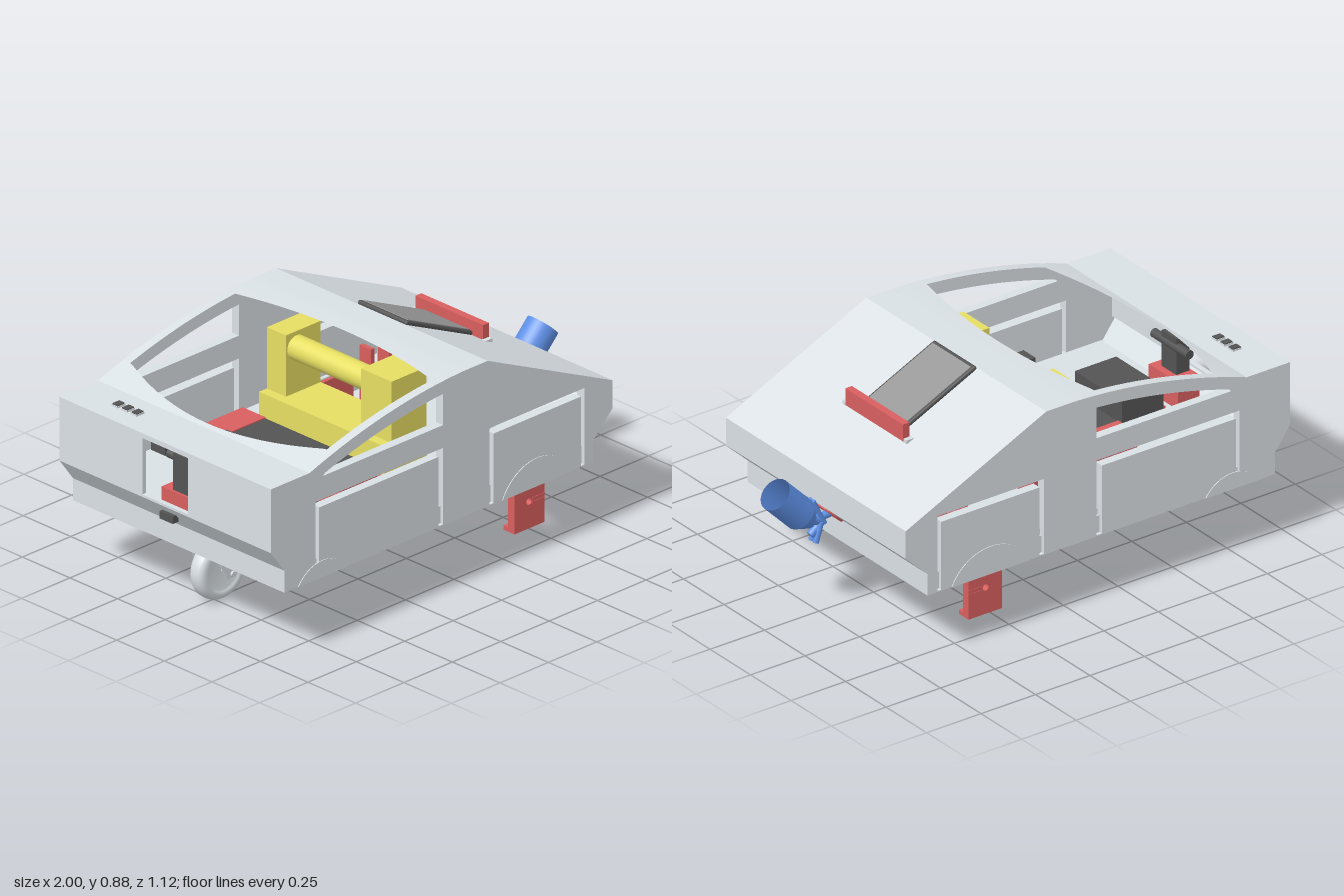
import * as THREE from 'three';
import { RoundedBoxGeometry } from 'three/addons/geometries/RoundedBoxGeometry.js';

const mat = (name, color, side = THREE.FrontSide) => {
  const m = new THREE.MeshStandardMaterial({ color, side });
  m.name = name;
  return m;
};

export function createModel() {
  const model = new THREE.Group();
  model.name = 'vehicle';
  const grey = mat('bodyGrey', 0xdae1e5, THREE.DoubleSide);
  const red = mat('red', 0xd95f5f);
  const yellow = mat('yellow', 0xe6de62);
  const blue = mat('blue', 0x5e90e6, THREE.DoubleSide);
  const dark = mat('darkGrey', 0x545454);
  const glass = mat('screenGrey', 0x989898);

  const add = (name, geo, m, x = 0, y = 0, z = 0) => {
    const mesh = new THREE.Mesh(geo, m);
    mesh.name = name;
    mesh.position.set(x, y, z);
    model.add(mesh);
    return mesh;
  };
  // Box given by its limits on each axis
  const box = (name, m, x0, x1, y0, y1, z0, z1) =>
    add(name, new THREE.BoxGeometry(x1 - x0, y1 - y0, z1 - z0), m, (x0 + x1) / 2, (y0 + y1) / 2, (z0 + z1) / 2);
  const v2 = (pts) => pts.map(([x, y]) => new THREE.Vector2(x, y));
  const rect = (a, b, c, d) => [[a, c], [b, c], [b, d], [a, d]];
  // Plate cut from an outline, centred on its thickness
  const plate = (pts, depth, holes = []) => {
    const s = new THREE.Shape(v2(pts));
    holes.forEach((h) => s.holes.push(new THREE.Path(v2(h))));
    return new THREE.ExtrudeGeometry(s, { depth, bevelEnabled: false }).translate(0, 0, -depth / 2);
  };
  // Rod between two points
  const rod = (name, m, a, b, r0, r1 = r0, open = false) => {
    const p = new THREE.Vector3(...a), q = new THREE.Vector3(...b), d = q.clone().sub(p);
    const mesh = add(name, new THREE.CylinderGeometry(r1, r0, d.length(), 32, 1, open), m);
    mesh.position.copy(p).add(q).multiplyScalar(0.5);
    mesh.quaternion.setFromUnitVectors(new THREE.Vector3(0, 1, 0), d.normalize());
  };
  // Folded sheet across the whole width, one flat quad per segment
  const W = 0.555;
  const sheet = (name, pts) => {
    const pos = [];
    for (let i = 0; i + 1 < pts.length; i++) {
      const [a, b] = pts[i], [c, d] = pts[i + 1];
      pos.push(a, b, -W, a, b, W, c, d, W, a, b, -W, c, d, W, c, d, -W);
    }
    const g = new THREE.BufferGeometry();
    g.setAttribute('position', new THREE.Float32BufferAttribute(pos, 3));
    g.computeVertexNormals();
    add(name, g, grey);
  };

  // Roof line height along x
  const roofY = (x) => {
    const t = Math.min(1, Math.max(0, (x + 0.8) / 0.8));
    return 0.72 + 0.15 * (t + 0.85 * t * (1 - t));
  };
  // Curved roof sheet between two edges that depend on z
  const roofSheet = (name, xa, xb) => {
    const nx = 16, nz = 40, pos = [], idx = [];
    for (let j = 0; j <= nz; j++) {
      const z = -W + (2 * W * j) / nz;
      for (let i = 0; i <= nx; i++) {
        const x = xa(z) + ((xb(z) - xa(z)) * i) / nx;
        pos.push(x, roofY(x), z);
        if (i < nx && j < nz) {
          const k = j * (nx + 1) + i, l = k + nx + 1;
          idx.push(k, l, k + 1, k + 1, l, l + 1);
        }
      }
    }
    const g = new THREE.BufferGeometry();
    g.setAttribute('position', new THREE.Float32BufferAttribute(pos, 3));
    g.setIndex(idx);
    g.computeVertexNormals();
    add(name, g, grey);
  };
  const edge = (mid, end) => (z) => mid + (end - mid) * Math.min(1, (z / 0.515) ** 2);
  roofSheet('roof', edge(-0.07, -0.13), () => 0.12);
  roofSheet('deckLip', () => -0.8, edge(-0.78, -0.67));
  sheet('deck', [[-1, 0.72], [-0.8, 0.72]]);
  sheet('slopedHood', [[0.12, 0.87], [0.765, 0.575], [0.765, 0.46], [0.665, 0.365], [0.665, 0.275]]);
  sheet('lowerEnd', [[-1, 0.46], [-0.93, 0.365], [-0.93, 0.275]]);
  const endWall = plate(rect(-W, W, 0.46, 0.72), 0.02, [rect(-0.12, 0.12, 0.47, 0.7)]);
  add('endWall', endWall.rotateY(Math.PI / 2), grey, -0.99);

  // Side panels with window and door gaps
  const arc = [], win = [[-0.11, 0.685], [-0.73, 0.685]];
  for (let i = 0; i <= 24; i++) {
    const x = -0.8 + (0.8 * i) / 24;
    arc.push([x, roofY(x)]);
    const wx = -0.72 + (0.61 * i) / 24;
    win.push([wx, Math.max(0.69, roofY(wx) - 0.052)]);
  }
  const outline = [[-0.93, 0.275], [-0.93, 0.365], [-1, 0.46], [-1, 0.72], ...arc,
    [0.12, 0.87], [0.765, 0.575], [0.765, 0.46], [0.665, 0.365], [0.665, 0.275]];
  const gap = (a, b, c, d) => [[a, 0.28], [a, 0.592], [d, 0.592], [d, 0.28], [c, 0.28], [c, 0.563], [b, 0.563], [b, 0.28]];
  const doors = [gap(-0.768, -0.75, -0.135, -0.11), gap(0.13, 0.15, 0.602, 0.62)];
  const archShape = (half, h) => {
    const r = (half * half + h * h) / (2 * h), a = Math.asin(half / r), pts = [];
    for (let i = 0; i <= 24; i++) {
      const t = a - (2 * a * i) / 24;
      pts.push([r * Math.sin(t), r * Math.cos(t) - r + h]);
    }
    return pts;
  };
  for (const s of [-1, 1]) {
    add('sidePanel', plate(outline, 0.038, [win, ...doors]), grey, 0, 0, s * 0.536);
    add('largeArch', plate(archShape(0.18, 0.115), 0.006), grey, 0.375, 0.275, s * 0.555);
    add('smallArch', plate(archShape(0.125, 0.068), 0.006), grey, -0.735, 0.275, s * 0.555);
  }

  // Floor deck, ribs and recessed underside panels
  const floor = plate(rect(-0.93, 0.665, -0.53, 0.53), 0.03,
    [rect(0.27, 0.48, 0.2, 0.5), rect(0.27, 0.48, -0.5, -0.2)]);
  add('floor', floor.rotateX(Math.PI / 2), grey, 0, 0.36);
  for (const s of [-1, 1]) box('floorRail', grey, -0.93, 0.66, 0.278, 0.35, s * 0.515 - 0.025, s * 0.515 + 0.025);
  for (const x of [-0.905, -0.37, 0.2, 0.63]) box('floorRib', grey, x - 0.025, x + 0.025, 0.278, 0.35, -0.5, 0.5);
  box('centreRib', grey, -0.9, -0.37, 0.278, 0.35, -0.03, 0.03);
  const underPanel = (x0, x1, z0, z1) => {
    box('underPanel', grey, x0, x1, 0.318, 0.346, z0, z1);
    const frame = plate(rect(x0 - 0.015, x1 + 0.015, z0 - 0.015, z1 + 0.015), 0.02, [rect(x0 + 0.02, x1 - 0.02, z0 + 0.02, z1 - 0.02)]);
    add('panelFrame', frame.rotateX(Math.PI / 2), grey, 0, 0.312);
  };
  underPanel(-0.31, 0.14, -0.45, 0.45);
  underPanel(-0.84, -0.43, 0.07, 0.45);
  underPanel(-0.84, -0.43, -0.45, -0.07);
  underPanel(0.27, 0.58, -0.16, 0.16);

  // Castor wheel
  const tyre = new THREE.LatheGeometry(v2([[0, -0.026], [0.08, -0.026], [0.085, -0.035], [0.1, -0.035], [0.114, -0.03],
    [0.121, -0.018], [0.123, 0], [0.121, 0.018], [0.114, 0.03], [0.1, 0.035], [0.085, 0.035], [0.08, 0.026], [0, 0.026]]), 48);
  add('castorWheel', tyre.rotateX(Math.PI / 2), grey, -0.727, 0.123);
  rod('axle', grey, [-0.727, 0.123, -0.085], [-0.727, 0.123, 0.085], 0.011);
  for (const s of [-1, 1])
    add('castorFork', plate([[-0.84, 0.285], [-0.755, 0.107], [-0.71, 0.107], [-0.68, 0.285]], 0.008), grey, 0, 0, s * 0.073);
  box('castorPlate', grey, -0.86, -0.62, 0.275, 0.29, -0.09, 0.09);

  // Red hanging brackets with a round hole and slot edges on the back face
  const hole = [];
  for (let i = 0; i < 16; i++) hole.push([0.37 + 0.014 * Math.cos(i * Math.PI / 8), 0.2 + 0.014 * Math.sin(i * Math.PI / 8)]);
  for (const s of [-1, 1]) for (const [z, foot] of [[0.501, -1], [0.232, 1]]) {
    add('bracket', plate(rect(0.295, 0.45, 0.09, 0.37), 0.034, [hole]), red, 0, 0, s * z);
    const f = s * (z + foot * 0.029), b = s * (z - foot * 0.016);
    box('bracketFoot', red, 0.295, 0.45, 0.09, 0.108, f - 0.012, f + 0.012);
    for (const y of [0.19, 0.206]) box('slotEdge', red, 0.385, 0.45, y, y + 0.005, b - 0.003, b + 0.003);
  }
  for (const x of [0.262, 0.355]) for (const s of [-1, 1])
    box('innerPost', red, x, x + 0.018, 0.36, 0.61, s * 0.232 - 0.03, s * 0.232 + 0.03);

  // Seat unit: base, side blocks and cross roller
  box('seatBase', yellow, -0.21, 0.01, 0.44, 0.56, -0.31, 0.345);
  box('seatBlock', yellow, -0.17, 0.01, 0.56, 0.81, 0.185, 0.345);
  box('seatBlock', yellow, -0.17, 0.01, 0.56, 0.81, -0.31, -0.21);
  rod('seatRoller', yellow, [-0.115, 0.745, -0.21], [-0.115, 0.745, 0.185], 0.048);
  box('seatTray', red, -0.23, 0.01, 0.375, 0.44, -0.32, -0.13);
  box('seatTray', red, -0.23, 0.01, 0.375, 0.44, 0.15, 0.36);

  // Bench, console and small fittings inside
  box('benchTop', dark, -0.46, -0.265, 0.375, 0.5, -0.22, 0.25);
  box('benchEnd', red, -0.46, -0.265, 0.375, 0.505, -0.34, -0.22);
  box('benchEnd', red, -0.46, -0.265, 0.375, 0.505, 0.25, 0.365);
  box('console', red, -0.71, -0.5, 0.375, 0.42, -0.185, 0.145);
  box('consoleTop', dark, -0.7, -0.51, 0.42, 0.552, -0.175, 0.115);
  box('pedalBlock', red, -0.785, -0.735, 0.375, 0.4, -0.075, 0.06);
  for (const s of [-1, 1]) box('sideBox', dark, -0.57, -0.455, 0.375, 0.45, s * 0.475 - 0.037, s * 0.475 + 0.037);
  box('cornerBox', dark, -0.93, -0.84, 0.41, 0.485, -0.51, -0.42);
  box('columnBase', red, -0.93, -0.83, 0.375, 0.49, -0.09, 0.09);
  box('column', dark, -0.92, -0.86, 0.49, 0.64, -0.04, 0.05);
  rod('columnBar', dark, [-0.87, 0.6, -0.11], [-0.87, 0.6, 0.11], 0.018);
  box('endLatch', dark, -0.995, -0.965, 0.4, 0.43, -0.035, 0.035);
  for (const z of [-0.35, -0.3, -0.25]) {
    box('deckButton', grey, -0.917, -0.877, 0.72, 0.727, z - 0.016, z + 0.016);
    box('buttonTop', dark, -0.915, -0.879, 0.727, 0.731, z - 0.014, z + 0.014);
  }

  // Screen on the hood with its red holder
  const slope = -Math.atan2(0.295, 0.645);
  const screen = add('screenFrame', new RoundedBoxGeometry(0.378, 0.018, 0.26, 2, 0.008), dark, 0.297, 0.797, -0.005);
  const face = add('screenFace', new THREE.BoxGeometry(0.345, 0.006, 0.235), glass, 0.3, 0.805, -0.005);
  screen.rotation.z = face.rotation.z = slope;
  box('screenHolder', red, 0.465, 0.495, 0.702, 0.772, -0.175, 0.18);
  for (const s of [-1, 1]) box('holderFoot', grey, 0.46, 0.495, 0.7, 0.715, s * 0.188 - 0.01, s * 0.188 + 0.01);

  // Blue cup with neck and clamp on the end wall
  rod('cup', blue, [0.838, 0.435, 0], [0.951, 0.55, 0], 0.065, 0.065, true);
  rod('cupNeck', blue, [0.79, 0.386, 0], [0.838, 0.435, 0], 0.028, 0.065);
  rod('cupStem', blue, [0.745, 0.38, 0], [0.8, 0.4, 0], 0.02);
  for (const s of [-1, 1]) {
    rod('clampArm', blue, [0.785, 0.475, s * 0.01], [0.735, 0.37, s * 0.015], 0.009);
    rod('clampFinger', blue, [0.75, 0.38, s * 0.013], [0.775, 0.3, s * 0.013], 0.012);
  }
  rod('clampBridge', blue, [0.735, 0.375, 0], [0.79, 0.33, 0], 0.016);
  rod('clampMount', blue, [0.66, 0.4, 0], [0.75, 0.39, 0], 0.015);
  box('innerMount', blue, 0.604, 0.618, 0.38, 0.58, -0.025, 0.025);
  const ring = add('mountRing', new THREE.TorusGeometry(0.058, 0.008, 10, 40), red, 0.707, 0.405);
  ring.lookAt(0.807, 0.3, 0);
  return model;
}
